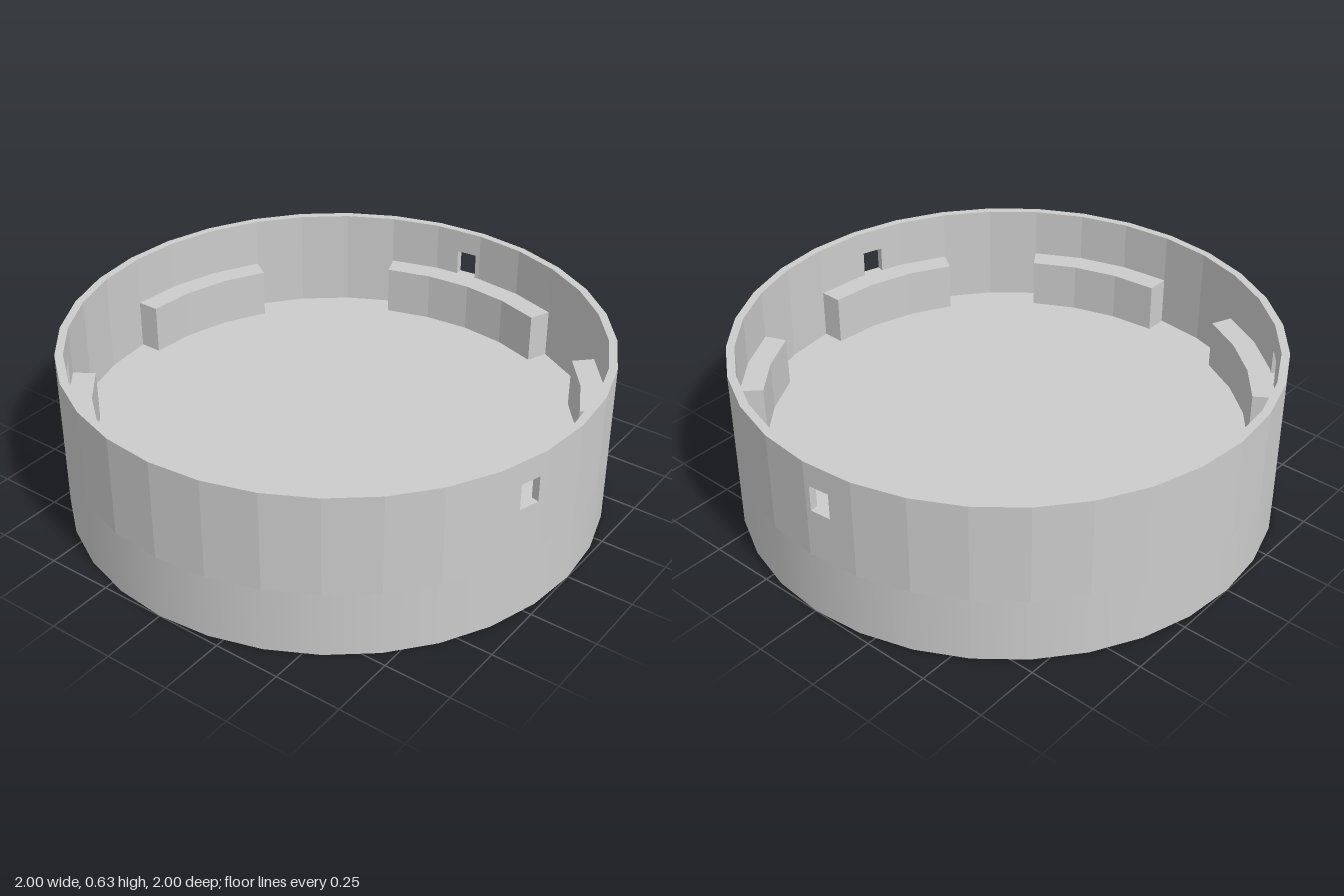
import * as THREE from 'three';

const SIDES = 32, STEP = (Math.PI * 2) / SIDES;
const OUTER = 1, INNER = 0.97, LEDGE = 0.885;
const FLOOR = 0.25, LEDGE_TOP = 0.44, WINDOW_TOP = 0.54, RIM = 0.63;
const WINDOW_HALF = 0.04;

// Angles run from +x towards +z.
const WINDOWS = [104.9, 228.9, 356.6].map(THREE.MathUtils.degToRad);
// Inner ledges: first facet and number of facets.
const LEDGES = [[-2, 4], [4, 2], [8, 3], [13, 3], [18, 3], [24, 3]];

// Faceted ring wall; each window is a radial cut inside a single facet.
function wallGeometry() {
  const pos = [];
  const quad = (a, b, c, d) => pos.push(...a, ...b, ...c, ...a, ...c, ...d);
  const dOut = OUTER * Math.cos(STEP / 2), dIn = INNER * Math.cos(STEP / 2);

  for (let i = 0; i < SIDES; i++) {
    const mid = (i + 0.5) * STEP, c = Math.cos(mid), s = Math.sin(mid);
    const at = (d, t, y) => [d * c - t * s, y, d * s + t * c];
    const outs = [-OUTER, OUTER].map((r) => r * Math.sin(STEP / 2));
    const ins = [-INNER, INNER].map((r) => r * Math.sin(STEP / 2));

    // Split a facet with a window into three columns.
    const angle = WINDOWS.find((w) => Math.abs(w - mid) < STEP / 2);
    if (angle !== undefined) {
      const k = angle - mid;
      const cut = (d, w) => w * Math.cos(k) + (d + w * Math.sin(k)) * Math.tan(k);
      outs.splice(1, 0, cut(dOut, -WINDOW_HALF), cut(dOut, WINDOW_HALF));
      ins.splice(1, 0, cut(dIn, -WINDOW_HALF), cut(dIn, WINDOW_HALF));
    }

    for (let j = 0; j + 1 < outs.length; j++) {
      const o = (n, y) => at(dOut, outs[j + n], y);
      const q = (n, y) => at(dIn, ins[j + n], y);
      const open = outs.length === 4 && j === 1;
      const bands = open ? [[FLOOR, LEDGE_TOP], [WINDOW_TOP, RIM]] : [[FLOOR, RIM]];
      for (const [y0, y1] of bands) {
        quad(o(0, y0), o(0, y1), o(1, y1), o(1, y0));
        quad(q(1, y0), q(1, y1), q(0, y1), q(0, y0));
      }
      quad(o(0, RIM), q(0, RIM), q(1, RIM), o(1, RIM));
      if (open) {
        // Sill, head and the two cheeks of the window.
        const a = LEDGE_TOP, b = WINDOW_TOP;
        quad(o(0, a), q(0, a), q(1, a), o(1, a));
        quad(o(1, b), q(1, b), q(0, b), o(0, b));
        quad(q(0, a), o(0, a), o(0, b), q(0, b));
        quad(q(1, b), o(1, b), o(1, a), q(1, a));
      }
    }
  }
  const geo = new THREE.BufferGeometry();
  geo.setAttribute('position', new THREE.Float32BufferAttribute(pos, 3));
  geo.computeVertexNormals();
  return geo;
}

// Faceted arc block standing on the floor against the wall.
function ledgeGeometry(first, count) {
  const points = [];
  const add = (r, i) => points.push(new THREE.Vector2(r * Math.cos(i * STEP), r * Math.sin(i * STEP)));
  for (let i = 0; i <= count; i++) add(INNER, first + i);
  for (let i = count; i >= 0; i--) add(LEDGE, first + i);
  const geo = new THREE.ExtrudeGeometry(new THREE.Shape(points), {
    depth: LEDGE_TOP - FLOOR, bevelEnabled: false,
  });
  return geo.rotateX(Math.PI / 2).translate(0, LEDGE_TOP, 0);
}

export function createModel() {
  const group = new THREE.Group();
  group.name = 'roundTray';
  const smooth = new THREE.MeshStandardMaterial({ color: 0xcccccc });
  const flat = new THREE.MeshStandardMaterial({ color: 0xcccccc, flatShading: true });
  const add = (name, geo, material) => {
    const mesh = new THREE.Mesh(geo, material);
    mesh.name = name;
    group.add(mesh);
  };

  // Solid base disc with a smooth side
  add('base', new THREE.CylinderGeometry(OUTER, OUTER, FLOOR, SIDES).translate(0, FLOOR / 2, 0), smooth);
  add('wall', wallGeometry(), flat);
  LEDGES.forEach(([first, count], i) => add(`ledge${i + 1}`, ledgeGeometry(first, count), flat));
  return group;
}
